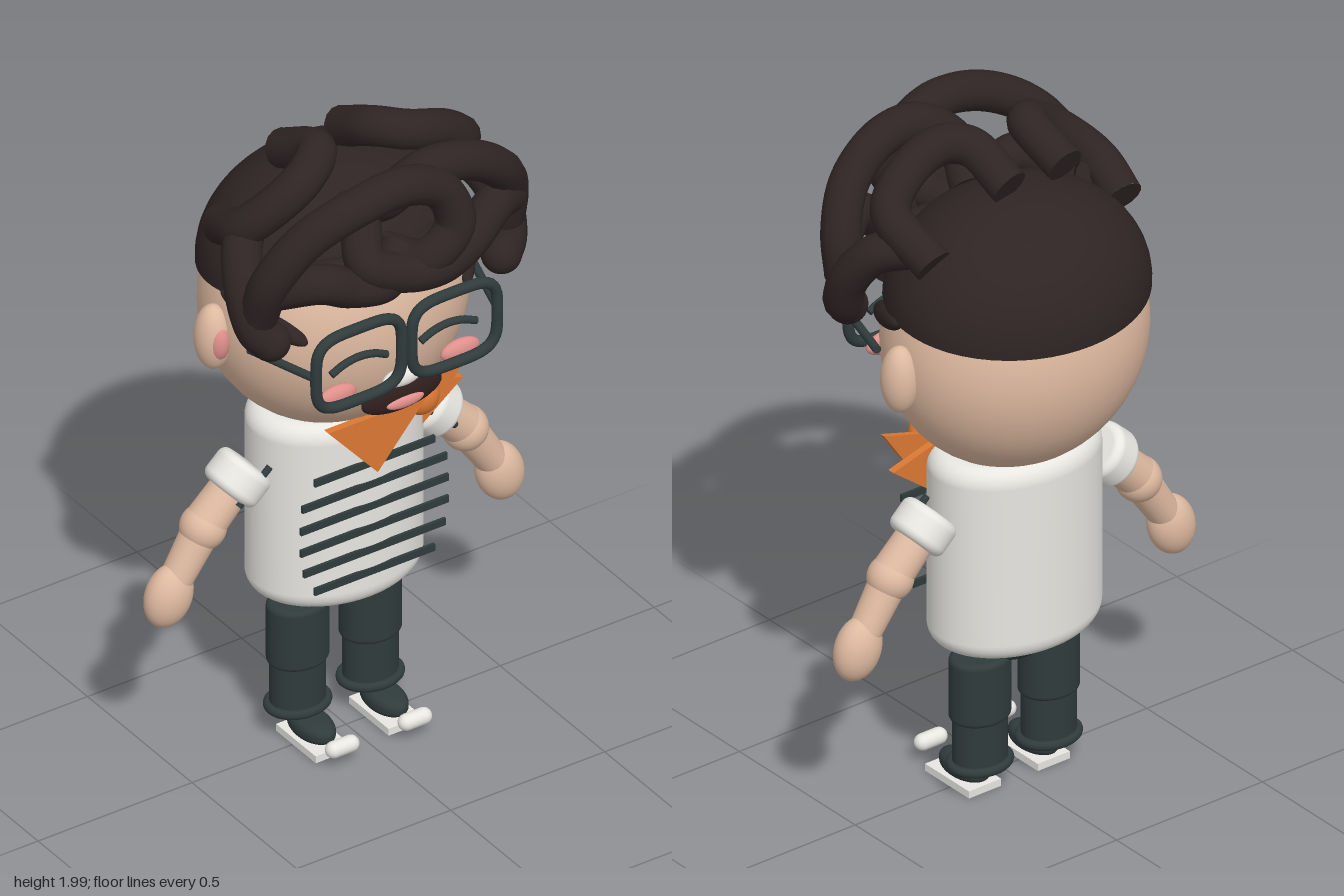
import * as THREE from 'three';
import { toCreasedNormals } from 'three/addons/utils/BufferGeometryUtils.js';

const mat = (name, color, side = THREE.FrontSide) => {
  const m = new THREE.MeshStandardMaterial({ color, side });
  m.name = name;
  return m;
};
const skin = mat('skin', 0xdeb9a0), hair = mat('hair', 0x2f2424), white = mat('white', 0xe8e7e2);
const dark = mat('slate', 0x303b3c), orange = mat('orange', 0xdb7833, THREE.DoubleSide);
const pink = mat('pink', 0xdf8f8b), mouthDark = mat('mouth', 0x33211f);
const V = (p) => new THREE.Vector3(...p);
const ZC = -0.058; // depth of the body axis

export function createModel() {
  const model = new THREE.Group();
  model.name = 'boyFigure';

  const add = (name, geo, material, pos = [0, 0, 0]) => {
    const mesh = new THREE.Mesh(geo, material);
    mesh.name = name;
    mesh.position.set(...pos);
    model.add(mesh);
    return mesh;
  };
  const ball = (name, material, pos, r) => {
    const mesh = add(name, new THREE.SphereGeometry(1, 40, 28), material, pos);
    mesh.scale.set(...r);
    return mesh;
  };
  const box = (name, material, pos, size) => add(name, new THREE.BoxGeometry(...size), material, pos);
  // Straight cylinder running from a to b
  const rod = (name, material, a, b, r0, r1 = r0) => {
    const d = V(b).sub(V(a));
    const mesh = add(name, new THREE.CylinderGeometry(r1, r0, d.length(), 28), material);
    mesh.position.copy(V(a)).addScaledVector(d, 0.5);
    mesh.quaternion.setFromUnitVectors(new THREE.Vector3(0, 1, 0), d.normalize());
  };
  // Smooth tube through points with flat end discs
  const tube = (name, material, pts, r, closed = false) => {
    const curve = new THREE.CatmullRomCurve3(pts.map(V), closed, 'centripetal');
    add(name, new THREE.TubeGeometry(curve, 72, r, 14, closed), material);
    if (closed) return;
    for (const t of [0, 1]) {
      const disc = add(name + 'End', new THREE.CircleGeometry(r, 14), material);
      disc.position.copy(curve.getPoint(t));
      disc.quaternion.setFromUnitVectors(new THREE.Vector3(0, 0, 1), curve.getTangent(t).multiplyScalar(t ? 1 : -1));
    }
  };
  // Cylinder with rounded rims, radius r, from y0 to y1, placed at pos
  const rounded = (name, material, pos, y0, y1, r, depth, bevel) => {
    const pts = [new THREE.Vector2(0, y0)];
    for (let i = 0; i <= 8; i++) {
      const a = (i / 8) * Math.PI / 2;
      pts.push(new THREE.Vector2(r - bevel + bevel * Math.sin(a), y0 + bevel - bevel * Math.cos(a)));
    }
    for (let i = 0; i <= 8; i++) {
      const a = (i / 8) * Math.PI / 2;
      pts.push(new THREE.Vector2(r - bevel + bevel * Math.cos(a), y1 - bevel + bevel * Math.sin(a)));
    }
    pts.push(new THREE.Vector2(0, y1));
    const mesh = add(name, new THREE.LatheGeometry(pts, 48), material, pos);
    mesh.scale.z = depth;
    return mesh;
  };
  const plate = (name, pts, z, depth) => {
    const shape = new THREE.Shape(pts.map((p) => new THREE.Vector2(...p)));
    add(name, new THREE.ExtrudeGeometry(shape, { depth, bevelEnabled: false }), orange, [0, 0, z]);
  };

  // Head
  ball('head', skin, [0, 1.4, -0.06], [0.385, 0.385, 0.33]);

  // Hair cap: closed half ellipsoid tipped towards the back
  const capPts = [new THREE.Vector2(0, 0)];
  for (let i = 0; i <= 20; i++) {
    const a = (i / 20) * Math.PI / 2;
    capPts.push(new THREE.Vector2(Math.cos(a), Math.sin(a)));
  }
  const cap = add('hairCap', toCreasedNormals(new THREE.LatheGeometry(capPts, 56), 0.7), hair, [0, 1.53, -0.07]);
  cap.scale.set(0.385, 0.305, 0.326);
  cap.rotation.x = -0.11;

  // Curls: two loops on the crown, two big arcs, then the front locks
  const curls = [
    [[0.05, 1.87, -0.1], [0.07, 1.94, 0.04], [0.13, 1.94, 0.1], [0.24, 1.9, 0.1], [0.33, 1.82, 0.06], [0.31, 1.72, -0.1]],
    [[-0.14, 1.87, -0.1], [-0.13, 1.94, 0.05], [-0.2, 1.9, 0.09], [-0.28, 1.84, 0.08], [-0.35, 1.76, 0.02], [-0.34, 1.7, -0.1]],
    [[-0.4, 1.56, 0.16], [-0.39, 1.71, 0.22], [-0.31, 1.83, 0.26], [-0.17, 1.91, 0.3], [-0.02, 1.93, 0.31],
      [0.1, 1.87, 0.31], [0.13, 1.76, 0.33], [0.04, 1.68, 0.32], [-0.02, 1.66, 0.2]],
    [[0.01, 1.76, 0.12], [-0.02, 1.84, 0.22], [0.08, 1.92, 0.26], [0.2, 1.91, 0.27], [0.32, 1.83, 0.25], [0.39, 1.72, 0.2], [0.4, 1.6, 0.17]],
    [[-0.06, 1.76, 0.1], [-0.09, 1.77, 0.2], [-0.13, 1.71, 0.29], [-0.03, 1.66, 0.32], [0.08, 1.65, 0.33], [0.2, 1.66, 0.29],
      [0.3, 1.72, 0.26], [0.38, 1.7, 0.21]],
    [[-0.36, 1.66, 0.2], [-0.27, 1.69, 0.28], [-0.18, 1.65, 0.29], [-0.08, 1.64, 0.3], [0, 1.7, 0.26]],
  ];
  for (const c of curls) tube('curl', hair, c, 0.056);
  tube('fringe', hair, [[-0.3, 1.61, 0.12], [-0.17, 1.64, 0.2], [0, 1.62, 0.23], [0.17, 1.64, 0.2], [0.3, 1.6, 0.12]], 0.045);

  // Torso with flat stripes standing in front of it
  rounded('shirt', white, [0, 0, ZC], 0.477, 1.07, 0.26, 0.745, 0.055);
  [0.195, 0.235, 0.24, 0.24, 0.23, 0.195].forEach((w, i) =>
    box('shirtStripe', dark, [0, 0.934 - i * 0.0702, 0.135], [2 * w, 0.022, 0.009]));

  // Neckerchief
  plate('neckerchief', [[-0.16, 1.092], [0, 0.907], [0.16, 1.092]], 0.13, 0.022);
  ball('neckerchiefKnot', orange, [0.17, 1.065, 0.108], [0.053, 0.053, 0.043]);
  plate('neckerchiefTail', [[0.17, 1.05], [0.29, 1.04], [0.355, 1.135], [0.17, 1.08]], 0.057, 0.017);
  plate('neckerchiefTail', [[0.2, 1.07], [0.21, 0.925], [0.345, 1.03]], 0.03, 0.022);

  // Mouth
  const beard = ball('mouthPatch', mouthDark, [0, 1.23, 0.265], [0.13, 0.058, 0.022]);
  beard.rotation.x = 0.1;
  ball('teeth', white, [0, 1.282, 0.268], [0.062, 0.027, 0.024]);
  ball('tongue', pink, [0, 1.212, 0.283], [0.06, 0.019, 0.014]);

  // Hips
  ball('hips', dark, [0, 0.448, ZC], [0.13, 0.058, 0.09]);

  for (const s of [1, -1]) {
    // Ears, cheeks, closed eyes
    ball('ear', skin, [s * 0.393, 1.38, ZC], [0.052, 0.1, 0.055]);
    ball('innerEar', pink, [s * 0.395, 1.38, -0.032], [0.033, 0.06, 0.036]);
    ball('cheek', pink, [s * 0.2, 1.285, 0.25], [0.062, 0.033, 0.022]);
    tube('closedEye', dark, [-1, -0.55, 0, 0.55, 1].map((t) => [s * 0.145 + t * 0.09, 1.405 - 0.026 * t * t, 0.275]), 0.011);

    // Glasses: rounded square rim and side bar
    const rim = [];
    for (let i = 0; i < 32; i++) {
      const a = (i / 32) * Math.PI * 2, c = Math.cos(a), n = Math.sin(a);
      const k = Math.pow(c ** 4 + n ** 4, -1 / 4);
      rim.push([s * 0.155 + 0.139 * k * c, 1.395 + 0.115 * k * n, 0.29]);
    }
    tube('glassesRim', dark, rim, 0.016, true);
    rod('glassesArm', dark, [s * 0.298, 1.4, 0.29], [s * 0.365, 1.4, 0.075], 0.012);

    // Side curl with a round tip, and the lock sloping down over the temple
    tube('sideCurl', hair, [[s * 0.31, 1.74, -0.02], [s * 0.38, 1.71, 0.06], [s * 0.415, 1.62, 0.13],
      [s * 0.405, 1.53, 0.17], [s * 0.375, 1.495, 0.19]], 0.056);
    ball('sideCurlTip', hair, [s * 0.375, 1.495, 0.19], [0.056, 0.056, 0.056]);
    const lock = ball('sideLock', hair, [s * 0.32, 1.49, 0.08], [0.035, 0.034, 0.14]);
    lock.rotation.set(0.38, -s * 0.45, 0);

    // Arm
    const sleeve = rounded('sleeve', white, [s * 0.313, 0.892, ZC], -0.05, 0.05, 0.085, 1, 0.025);
    sleeve.rotation.z = s * 0.82;
    rod('sleeveStripe', dark, [s * 0.25, 0.937, ZC + 0.062], [s * 0.352, 0.845, ZC + 0.062], 0.01);
    rod('upperArm', skin, [s * 0.3, 0.905, ZC], [s * 0.43, 0.775, ZC], 0.055, 0.06);
    ball('elbow', skin, [s * 0.425, 0.775, ZC], [0.065, 0.065, 0.065]);
    rod('forearm', skin, [s * 0.425, 0.775, ZC], [s * 0.525, 0.62, ZC], 0.054, 0.045);
    const hand = ball('hand', skin, [s * 0.537, 0.595, ZC], [0.07, 0.094, 0.057]);
    hand.rotation.z = s * 0.3;

    // Leg
    const x = s * 0.118;
    rounded('thigh', dark, [x, 0, ZC], 0.235, 0.43, 0.09, 0.84, 0.016);
    rounded('shin', dark, [x, 0, ZC], 0.09, 0.25, 0.081, 0.82, 0.01);
    const cuff = add('trouserCuff', new THREE.TorusGeometry(0.085, 0.014, 12, 40), dark, [x, 0.098, ZC]);
    cuff.rotation.x = Math.PI / 2;
    cuff.scale.y = 0.82;
    rod('ankle', skin, [x, 0.05, -0.045], [x, 0.1, -0.045], 0.033);

    // Shoe
    box('shoeSole', white, [x, 0.017, 0.015], [0.11, 0.022, 0.19]);
    rounded('shoeBody', dark, [x, 0, 0.008], 0.027, 0.083, 0.052, 1.72, 0.024);
    const toe = add('shoeToe', new THREE.CapsuleGeometry(0.024, 0.055, 8, 20), white, [x, 0.065, 0.155]);
    toe.rotation.z = Math.PI / 2;
  }
  return model;
}
